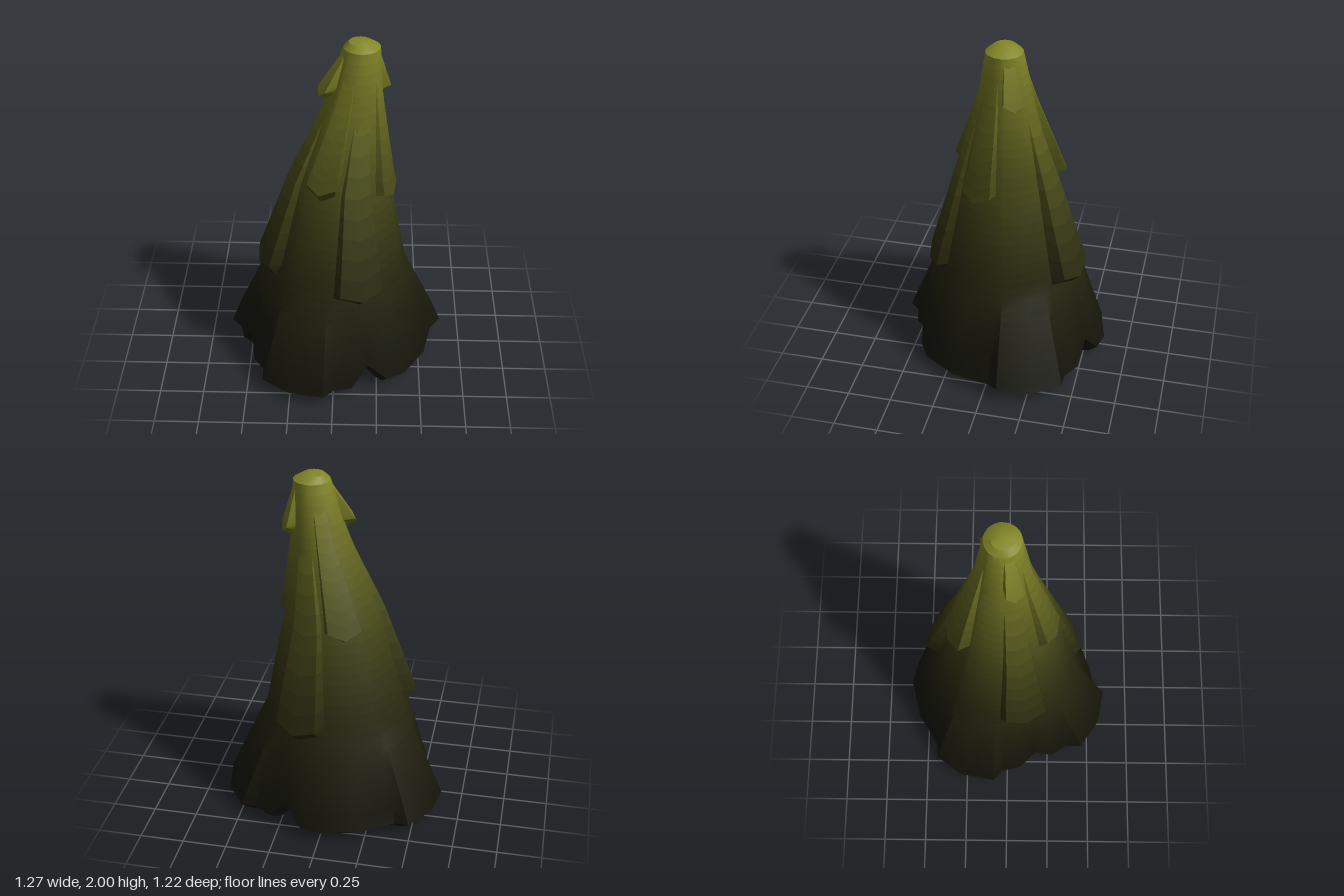
import * as THREE from 'three';
import { toCreasedNormals } from 'three/addons/utils/BufferGeometryUtils.js';

// Trunk-less leaning cone: [y, axis x, axis z, radius]
const PROFILE = [
  [0.06, 0, 0, 0.58], [0.6, 0, -0.02, 0.41], [1.2, 0.03, -0.02, 0.265],
  [1.65, 0.1, -0.03, 0.155], [1.96, 0.14, -0.03, 0.1],
];

// Ragged hem seen from above: [x, z, notch height]
const HEM = [
  [0, -0.61], [0.11, -0.585], [0.2, -0.525, 0.12], [0.31, -0.5], [0.41, -0.44], [0.49, -0.44],
  [0.6, -0.285], [0.635, -0.09, 0.03], [0.575, -0.03], [0.53, 0.19], [0.41, 0.38], [0.31, 0.435],
  [0.2, 0.46, 0.12], [0.11, 0.52], [0, 0.545], [-0.055, 0.605], [-0.25, 0.57], [-0.41, 0.46],
  [-0.41, 0.37], [-0.47, 0.28], [-0.49, 0.17, 0.13], [-0.55, 0.08], [-0.575, -0.03],
  [-0.635, -0.085], [-0.6, -0.285], [-0.49, -0.44], [-0.41, -0.44], [-0.22, -0.56],
];

function section(y) {
  let i = 0;
  while (i < PROFILE.length - 2 && y > PROFILE[i + 1][0]) i++;
  const a = PROFILE[i], b = PROFILE[i + 1];
  const t = (y - a[0]) / (b[0] - a[0]);
  return a.map((v, k) => v + (b[k] - v) * t);
}

// Point on the cone at a height and angle, pushed outwards by out
function onCone(y, angle, out = 0) {
  const [, cx, cz, r] = section(y);
  return [cx + Math.cos(angle) * (r + out), y, cz + Math.sin(angle) * (r + out)];
}

// Dark olive at the base to yellow-green at the tip
function shade(y) {
  const t = THREE.MathUtils.clamp(y / 2, 0, 1) ** 1.5;
  const color = new THREE.Color().setRGB(
    0.07 + 0.45 * t, 0.07 + 0.465 * t, 0.035 + 0.12 * t, THREE.SRGBColorSpace);
  return new THREE.MeshStandardMaterial({ color });
}

// Joins rows of points, listed from the bottom up, into a surface with one shade per row
function skin(name, rows, closed, crease) {
  const n = rows[0].length, index = [], materials = [];
  const geometry = new THREE.BufferGeometry();
  geometry.setAttribute('position', new THREE.Float32BufferAttribute(rows.flat(2), 3));
  for (let r = 0; r < rows.length - 1; r++) {
    const start = index.length;
    for (let i = 0; i < (closed ? n : n - 1); i++) {
      const a = r * n + i, b = r * n + (i + 1) % n;
      index.push(a, a + n, b, b, a + n, b + n);
    }
    geometry.addGroup(start, index.length - start, r);
    const mean = [...rows[r], ...rows[r + 1]].reduce((s, p) => s + p[1], 0) / (2 * n);
    materials.push(shade(mean));
  }
  geometry.setIndex(index);
  const mesh = new THREE.Mesh(toCreasedNormals(geometry, crease), materials);
  mesh.name = name;
  return mesh;
}

function makeBody() {
  const angles = HEM.map(([x, z]) => Math.atan2(z, x));
  const hemRow = (scale, y) =>
    HEM.map(([x, z, notch = 0]) => [x * scale, y + notch, z * scale]);
  const hem = hemRow(1, 0.065);
  // Shallow hollow underside, then the rounded rim and hem
  const rows = [
    HEM.map(() => [0, 0.18, 0]),
    angles.map((a) => [Math.cos(a) * 0.36, 0.17, Math.sin(a) * 0.36]),
    hemRow(0.72, 0.03),
    hemRow(0.8, 0),
    hemRow(0.91, 0.02),
    hem,
  ];
  // Skirt blends from the ragged hem to a round section
  for (let s = 1; s <= 10; s++) {
    const t = s / 10;
    rows.push(hem.map((p, i) => {
      const q = onCone(0.6, angles[i]);
      return p.map((v, k) => v + (q[k] - v) * t);
    }));
  }
  for (let s = 1; s <= 24; s++) {
    const y = 0.6 + 1.36 * s / 24;
    rows.push(angles.map((a) => onCone(y, a)));
  }
  // Domed tip
  rows.push(angles.map((a) => [0.13 + Math.cos(a) * 0.06, 1.99, -0.03 + Math.sin(a) * 0.06]));
  rows.push(angles.map(() => [0.13, 2, -0.03]));
  return skin('foliageCone', rows, true, 0.5);
}

// Hanging bough: a slab that swells out of the cone and ends in a blunt point,
// its underside slanting down and back into the cone
function makeBough({ angle, half, bottom, top, out, drop }) {
  const a0 = THREE.MathUtils.degToRad(angle), h0 = THREE.MathUtils.degToRad(half);
  const across = [-1.12, -0.82, 0, 0.82, 1.12];
  const tip = [0.03, 0.02, -0.02, 0.02, 0.03];
  const row = (t, push, lower = 0) => across.map((u, i) => {
    const y = bottom + (top - bottom) * t + tip[i] * (1 - t) - lower;
    const edge = Math.abs(u) > 1;
    return onCone(y, a0 + u * h0 * (1 - 0.12 * t), edge ? -0.012 : push);
  });
  const rows = [row(0, -0.015, drop), row(0, out)];
  for (let s = 1; s <= 10; s++) {
    const t = s / 10;
    rows.push(row(t, out * (1 - t) - 0.01 * t));
  }
  return skin('bough', rows, false, 0.6);
}

export function createModel() {
  const model = new THREE.Group();
  model.name = 'pineTree';
  model.add(makeBody());

  const tiers = {
    lowerBoughs: [
      { angle: 69, half: 20, bottom: 0.62, top: 1.75, out: 0.05, drop: 0.05 },
      { angle: 163, half: 19, bottom: 0.68, top: 1.7, out: 0.06, drop: 0.09 },
      { angle: -70, half: 19, bottom: 0.63, top: 1.7, out: 0.075, drop: 0.07 },
    ],
    middleBoughs: [
      { angle: 112, half: 20, bottom: 1.23, top: 1.9, out: 0.05, drop: 0.07 },
      { angle: 22, half: 20, bottom: 1.14, top: 1.93, out: 0.04, drop: 0.02 },
      { angle: -113, half: 20, bottom: 1.18, top: 1.9, out: 0.065, drop: 0.04 },
    ],
    upperBoughs: [
      { angle: 160, half: 18, bottom: 1.72, top: 1.95, out: 0.065, drop: 0.02 },
      { angle: -25, half: 20, bottom: 1.7, top: 1.95, out: 0.05, drop: 0.03 },
    ],
  };
  for (const [name, boughs] of Object.entries(tiers)) {
    const tier = new THREE.Group();
    tier.name = name;
    boughs.forEach((b) => tier.add(makeBough(b)));
    model.add(tier);
  }
  return model;
}
